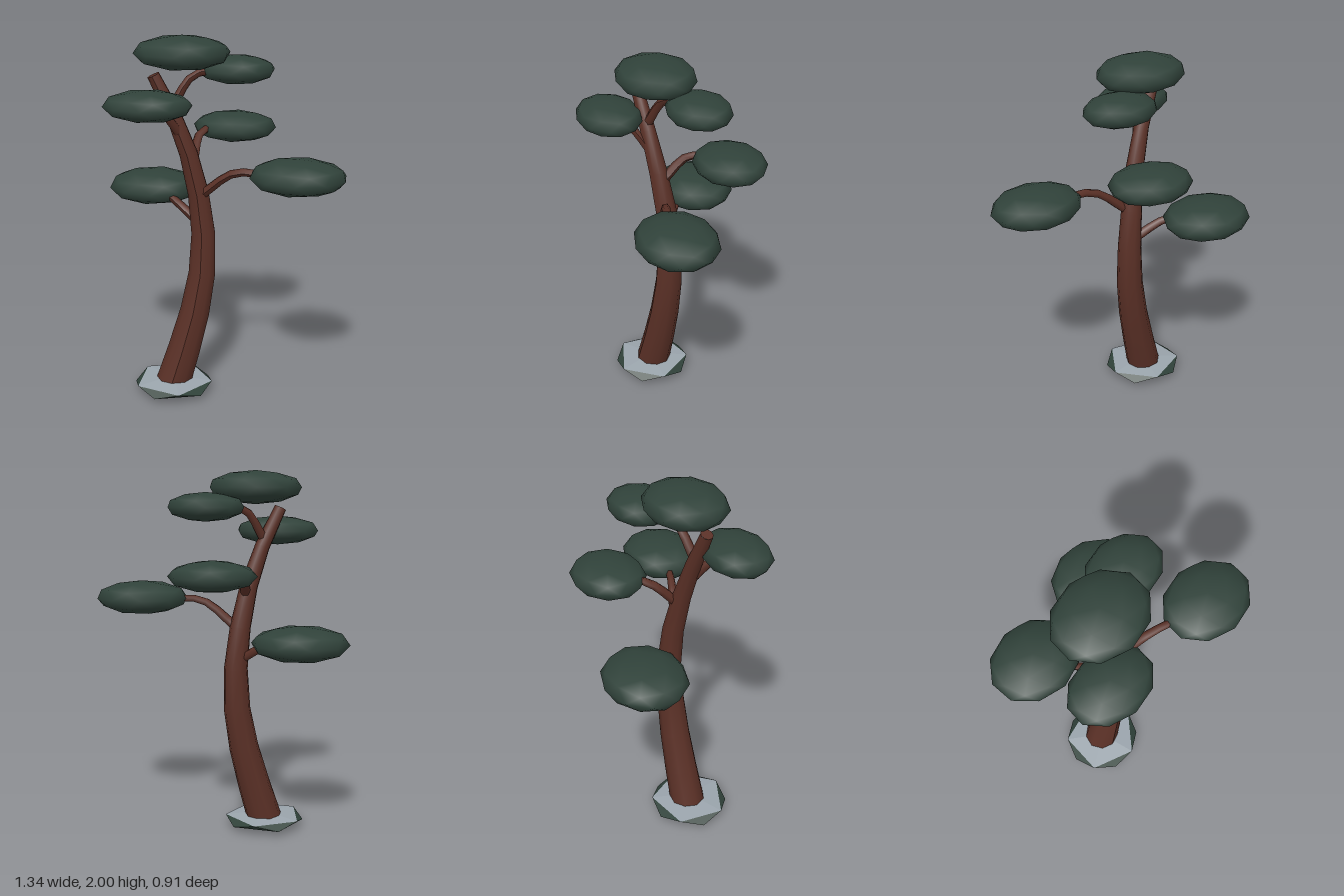
import * as THREE from 'three';

const mat = (name, color) => {
  const m = new THREE.MeshStandardMaterial({ color });
  m.name = name;
  return m;
};
const V = (p) => new THREE.Vector3(...p);

// Icosphere with one corner pointing straight up
const icosphere = (detail) => new THREE.IcosahedronGeometry(1, detail).rotateZ(-0.5536);

// Tapered tube along a smooth path, closed by a flat disc at each end
function limb(name, points, radii, segments, sides, material) {
  const curve = new THREE.CatmullRomCurve3(points.map(V));
  const geo = new THREE.TubeGeometry(curve, segments, 1, sides);
  const pos = geo.attributes.position;
  const p = new THREE.Vector3();
  const radiusAt = (u) => THREE.MathUtils.lerp(radii[0], radii[1], u);
  for (let i = 0; i < pos.count; i++) {
    const u = Math.floor(i / (sides + 1)) / segments;
    const c = curve.getPointAt(u);
    p.fromBufferAttribute(pos, i).sub(c).multiplyScalar(radiusAt(u)).add(c);
    pos.setXYZ(i, p.x, p.y, p.z);
  }
  geo.computeVertexNormals();
  const group = new THREE.Group();
  group.name = name;
  const tube = new THREE.Mesh(geo, material);
  tube.name = name + 'Bark';
  group.add(tube);
  for (const u of [0, 1]) {
    const cap = new THREE.Mesh(new THREE.CircleGeometry(radiusAt(u), sides), material);
    cap.name = name + 'End';
    cap.position.copy(curve.getPointAt(u));
    const out = curve.getTangentAt(u).multiplyScalar(u ? 1 : -1);
    cap.quaternion.setFromUnitVectors(new THREE.Vector3(0, 0, 1), out);
    group.add(cap);
  }
  return group;
}

export function createModel() {
  const bark = mat('bark', 0x5a3026);
  const foliage = mat('foliage', 0x30423a);
  const snow = mat('snow', 0x9aa4ac);
  const tree = new THREE.Group();
  tree.name = 'tree';

  // Curving trunk
  tree.add(limb('trunk', [
    [-0.265, 0.03, 0.085], [-0.18, 0.32, 0.06], [-0.11, 0.62, 0.04], [-0.093, 0.93, 0.03],
    [-0.125, 1.2, 0.045], [-0.2, 1.5, 0.085], [-0.335, 1.8, 0.12],
  ], [0.1, 0.033], 8, 9, bark));

  // Bent branches reaching into the pads
  const branches = [
    [[-0.1, 0.97, 0.03], [-0.28, 1.085, -0.07], [-0.38, 1.11, -0.18]],
    [[-0.1, 1.15, 0.055], [0.09, 1.295, 0.115], [0.28, 1.3, 0.165]],
    [[-0.145, 1.33, 0.05], [-0.125, 1.46, -0.09], [-0.03, 1.47, -0.2]],
    [[-0.25, 1.62, 0.1], [-0.14, 1.79, 0.04], [0, 1.81, -0.02]],
    [[-0.2, 1.48, 0.09], [-0.27, 1.61, 0.18], [-0.32, 1.66, 0.26]],
  ];
  branches.forEach((b) => tree.add(limb('branch', b, [0.028, 0.018], 6, 6, bark)));

  // Foliage pads: centre, half sizes, turn about y
  const pads = [
    [[-0.42, 1.11, -0.235], [0.26, 0.095, 0.22], 0.1],
    [[0.425, 1.305, 0.18], [0.256, 0.093, 0.212], 0],
    [[0.037, 1.465, -0.262], [0.232, 0.082, 0.195], 0.25],
    [[0.07, 1.81, -0.07], [0.208, 0.077, 0.168], 0],
    [[-0.333, 1.67, 0.28], [0.232, 0.08, 0.175], 0],
    [[-0.195, 1.91, 0.064], [0.256, 0.09, 0.212], 0],
  ];
  for (const [centre, size, turn] of pads) {
    const pad = new THREE.Mesh(icosphere(1).rotateY(turn).scale(...size), foliage);
    pad.name = 'foliagePad';
    pad.position.set(...centre);
    tree.add(pad);
  }

  // Flat ground tuft: the faces of its upper cap carry snow
  const tuft = icosphere(0);
  const pos = tuft.attributes.position;
  for (let i = 0; i < pos.count; i += 3) {
    const y = (pos.getY(i) + pos.getY(i + 1) + pos.getY(i + 2)) / 3;
    tuft.addGroup(i, 3, y > 0.5 ? 1 : 0);
  }
  for (let i = 0; i < pos.count; i++) pos.setY(i, Math.max(pos.getY(i), -0.5));
  tuft.scale(0.246, 0.036, 0.238);
  tuft.computeVertexNormals();
  const base = new THREE.Mesh(tuft, [foliage, snow]);
  base.name = 'snowyGroundTuft';
  base.position.set(-0.26, 0.047, 0.092);
  tree.add(base);

  return tree;
}
